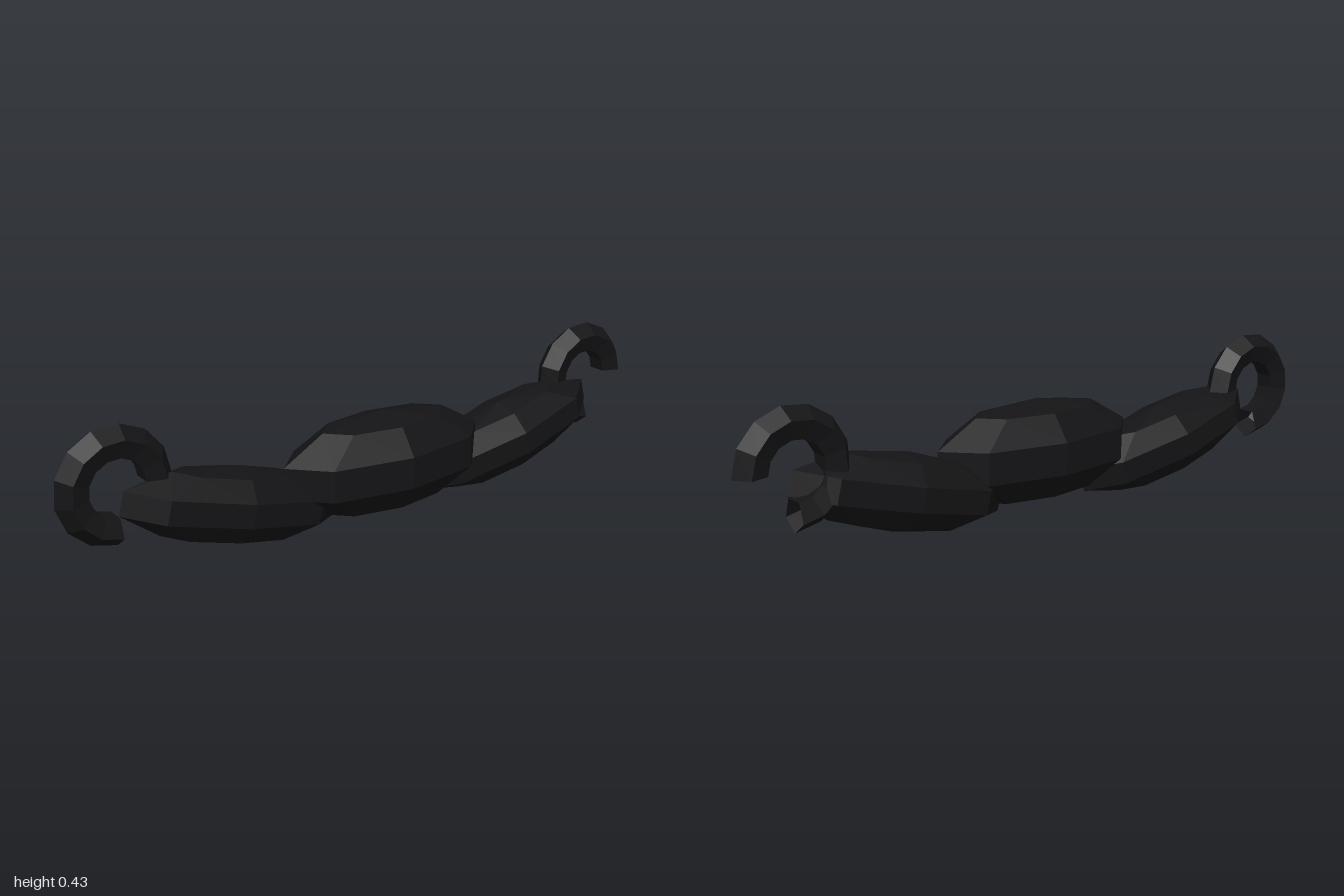
import * as THREE from 'three';

export function createModel() {
  const model = new THREE.Group();
  const material = new THREE.MeshStandardMaterial({
    color: 0x141416, flatShading: true, side: THREE.DoubleSide,
  });

  function add(name, geometry, x, y, z) {
    const mesh = new THREE.Mesh(geometry, material);
    mesh.name = name;
    mesh.position.set(x, y, z);
    model.add(mesh);
    return mesh;
  }

  // Stretched, faceted lobes
  const lobe = new THREE.SphereGeometry(1, 8, 5);
  add('centerLobe', lobe, 0, 0.172, 0).scale.set(0.363, 0.153, 0.155);

  // Open hook: three quarters of a five-sided ring
  const hook = new THREE.TorusGeometry(0.122, 0.048, 5, 10, Math.PI * 1.5);

  for (const [side, s] of [['left', 1], ['right', -1]]) {
    // Outer lobe, tilted up towards its tip
    const outer = add(side + 'Lobe', lobe, s * 0.49, 0.139, -0.032);
    outer.scale.set(0.363, 0.112, 0.122);
    outer.rotation.z = s * 0.24;

    // Both hooks open in the same direction
    add(side + 'Hook', hook, s * 0.83, 0.265, -0.06);
  }
  return model;
}
